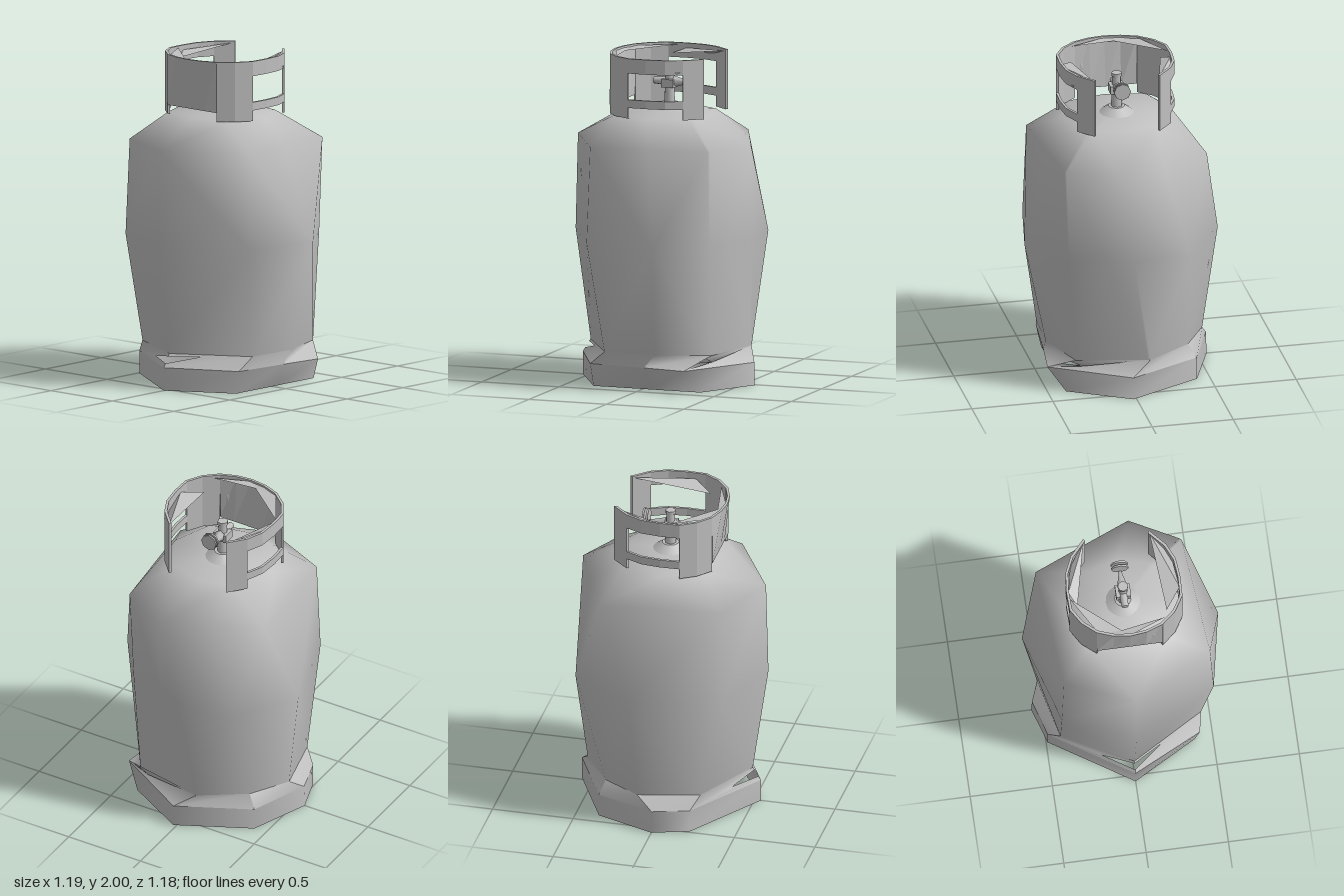
import * as THREE from 'three';

const steel = new THREE.MeshStandardMaterial({ color: 0xbfbfbf, side: THREE.DoubleSide });
steel.name = 'grey steel';

function part(name, geometry, parent) {
  const mesh = new THREE.Mesh(geometry, steel);
  mesh.name = name;
  parent.add(mesh);
  return mesh;
}

function fromIndex(points, index, flat) {
  let g = new THREE.BufferGeometry();
  g.setAttribute('position', new THREE.Float32BufferAttribute(points.flat(), 3));
  g.setIndex(index);
  if (flat) g = g.toNonIndexed();
  g.computeVertexNormals();
  return g;
}

// Closed rings of [x, z] at given heights; an optional centre point closes the last ring.
// Each quad is split along the diagonal that bulges outwards.
function loft(levels, centre) {
  const n = levels[0].plan.length, points = [], index = [];
  for (const { y, plan } of levels) for (const [x, z] of plan) points.push([x, y, z]);
  const bulge = (p, q) => Math.hypot(points[p][0] + points[q][0], points[p][2] + points[q][2]);
  for (let r = 0; r < levels.length - 1; r++) {
    for (let j = 0; j < n; j++) {
      const a = r * n + j, b = r * n + (j + 1) % n;
      if (bulge(a, b + n) >= bulge(b, a + n)) index.push(a, b, b + n, a, b + n, a + n);
      else index.push(a, b, a + n, b, b + n, a + n);
    }
  }
  if (centre) {
    const base = (levels.length - 1) * n;
    points.push(centre);
    for (let j = 0; j < n; j++) index.push(base + j, base + (j + 1) % n, points.length - 1);
  }
  return fromIndex(points, index);
}

// Thin curved wall between a lower and an upper line, thickened towards the axis.
function wall(lower, upper) {
  const inward = ([x, y, z]) => [x * 0.955, y, z * 0.955];
  const points = [], index = [], n = lower.length;
  for (let i = 0; i < n; i++) points.push(lower[i], upper[i], inward(upper[i]), inward(lower[i]));
  for (let i = 0; i < n - 1; i++) {
    for (let k = 0; k < 4; k++) {
      const a = i * 4 + k, b = i * 4 + (k + 1) % 4;
      index.push(a, a + 4, b + 4, a, b + 4, b);
    }
  }
  const e = (n - 1) * 4;
  index.push(0, 1, 2, 0, 2, 3, e, e + 2, e + 1, e, e + 3, e + 2);
  return fromIndex(points, index, true);
}

// Flat outline in (u, v) stretched over four corners.
function facet(outline, a, b, c, d) {
  const g = new THREE.ShapeGeometry(new THREE.Shape(outline.map(([u, v]) => new THREE.Vector2(u, v))));
  const p = g.attributes.position;
  for (let i = 0; i < p.count; i++) {
    const u = p.getX(i), v = p.getY(i);
    const at = [0, 1, 2].map(k => (a[k] * (1 - u) + b[k] * u) * (1 - v) + (d[k] * (1 - u) + c[k] * u) * v);
    p.setXYZ(i, ...at);
  }
  g.computeVertexNormals();
  return g;
}

// Rim shared by the tank and the foot ring
const rim = [[0, .49], [.44, .23], [.455, -.1], [.34, -.42], [-.1, -.51], [-.37, -.33], [-.51, -.1], [-.42, .27]];

function buildTank(group) {
  // The fifth point of each ring follows a slanting fold in the back
  const bottom = [...rim.slice(0, 4), [-.085, -.507], ...rim.slice(4)];
  const belly = [[0, .587], [.505, .32], [.595, -.14], [.385, -.425], [.17, -.472], [.01, -.555], [-.34, -.525], [-.597, -.14], [-.43, .41]];
  const shoulder = [[0, .572], [.485, .305], [.45, -.05], [.412, -.425], [.4, -.436], [.11, -.59], [-.19, -.465], [-.485, -.34], [-.415, .39]];
  const lid = [[0, .29], [.24, .24], [.34, 0], [.22, -.23], [.19, -.245], [0, -.29], [-.2, -.24], [-.34, 0], [-.24, .24]];
  part('tankBody', loft([
    { y: .22, plan: bottom }, { y: .89, plan: belly }, { y: 1.47, plan: shoulder }, { y: 1.635, plan: lid },
  ], [0, 1.665, -.02]), group);
  // Base plate, open on one side
  part('tankBottom', fromIndex(
    rim.slice(0, 6).map(([x, z]) => [x, .22, z]), [0, 2, 1, 0, 3, 2, 0, 4, 3, 0, 5, 4], true), group);
}

function buildFoot(group) {
  const low = [[0, .54], [.39, .32], [.39, -.05], [.39, -.37], [.02, -.575], [-.42, -.36], [-.56, 0], [-.49, .22]];
  const mid = [[0, .54], [.42, .33], [.455, -.03], [.49, -.3], [.02, -.575], [-.42, -.36], [-.555, 0], [-.49, .22]];
  part('footRing', loft([{ y: 0, plan: low }, { y: .14, plan: mid }]), group);
  // Sloped upper band with drain slots
  const square = [[0, 0], [1, 0], [1, 1], [0, 1]];
  const outlines = {
    0: [[0, 0], [1, 0], [1, 1], [0, 1], [0, .8], [.4, .85], [0, .3]],
    3: [[0, 0], [1, 0], [1, 1], [0, 1], [0, .8], [.3, .4], [0, .55]],
    7: [[0, 0], [1, 0], [1, .3], [.6, .4], [1, .8], [1, 1], [0, 1]],
  };
  const at = ([x, z], y) => [x, y, z];
  for (let i = 0; i < 8; i++) {
    const j = (i + 1) % 8;
    part('footBand', facet(outlines[i] || square, at(mid[i], .14), at(mid[j], .14), at(rim[j], .22), at(rim[i], .22)), group);
  }
}

function buildCollar(group) {
  const level = (plan, y) => plan.map(([x, z]) => [x, y, z]);
  const band = (name, plan, y0, y1) => part(name, wall(level(plan, y0), level(plan, y1)), group);
  for (const s of [1, -1]) {
    const m = plan => plan.map(([x, z]) => [x * s, z]);
    const side = m([[.29, -.22], [.335, -.12], [.347, 0], [.343, .12]]);
    band('collarBackLeg', m([[.2, -.32], [.29, -.22]]), 1.635, 2);
    band('collarFrontLeg', m([[.343, .12], [.285, .215], [.2, .287]]), 1.635, 2);
    band('collarLowerRail', side, 1.7, 1.75);
    band('collarUpperRail', side, 1.91, 2);
  }
  // Front shield: straight lower edge, bowed upper edge
  const xs = [-.2, -.1, 0, .1, .2];
  part('collarFront', wall(
    xs.map(x => [x, 1.69, .29]),
    xs.map(x => [x, 2, .335 - x * x * 1.2]),
  ), group);
  // Folded inner guard plates
  part('innerGuard', fromIndex(
    [[.2, 1.99, -.31], [.31, 1.92, -.19], [.335, 1.96, .05], [.24, 1.92, .17]], [0, 2, 1, 0, 3, 2], true), group);
  part('innerGuard', fromIndex(
    [[-.2, 1.99, -.31], [-.3, 1.95, -.17], [-.335, 1.97, 0], [-.29, 1.94, .08]], [0, 1, 2, 0, 2, 3], true), group);
  // Inward lip along the front rim
  part('frontLip', fromIndex(
    [[-.33, 1.99, .05], [-.19, 1.99, .29], [0, 1.99, .325], [.22, 1.99, .24], [-.05, 1.98, .285]],
    [0, 1, 4, 1, 2, 4, 2, 3, 4], true), group);
}

function buildValve(group) {
  const valve = new THREE.Group();
  valve.name = 'valve';
  valve.position.z = -.02;
  group.add(valve);
  part('valveFlange', new THREE.CylinderGeometry(.05, .105, .04, 16), valve).position.y = 1.675;
  part('valveStem', new THREE.CylinderGeometry(.025, .035, .23, 8), valve).position.y = 1.795;
  part('valveBlock', new THREE.BoxGeometry(.09, .05, .08), valve).position.set(0, 1.81, 0);
  part('valveCap', new THREE.CylinderGeometry(.032, .032, .02, 8), valve).position.y = 1.9;
  const outlet = part('valveOutlet', new THREE.CylinderGeometry(.02, .028, .1, 8), valve);
  outlet.rotation.x = Math.PI / 2;
  outlet.position.set(0, 1.82, .05);
  const spindle = part('valveSpindle', new THREE.CylinderGeometry(.008, .035, .1, 6), valve);
  spindle.rotation.x = -Math.PI / 2;
  spindle.position.set(0, 1.82, -.08);
  for (const z of [-.138, -.162]) {
    const wheel = part('handWheel', new THREE.CylinderGeometry(.052, .052, .012, 8), valve);
    wheel.rotation.x = Math.PI / 2;
    wheel.position.set(0, 1.85, z);
  }
}

export function createModel() {
  const group = new THREE.Group();
  group.name = 'gasCylinder';
  buildTank(group);
  buildFoot(group);
  buildCollar(group);
  buildValve(group);
  return group;
}
